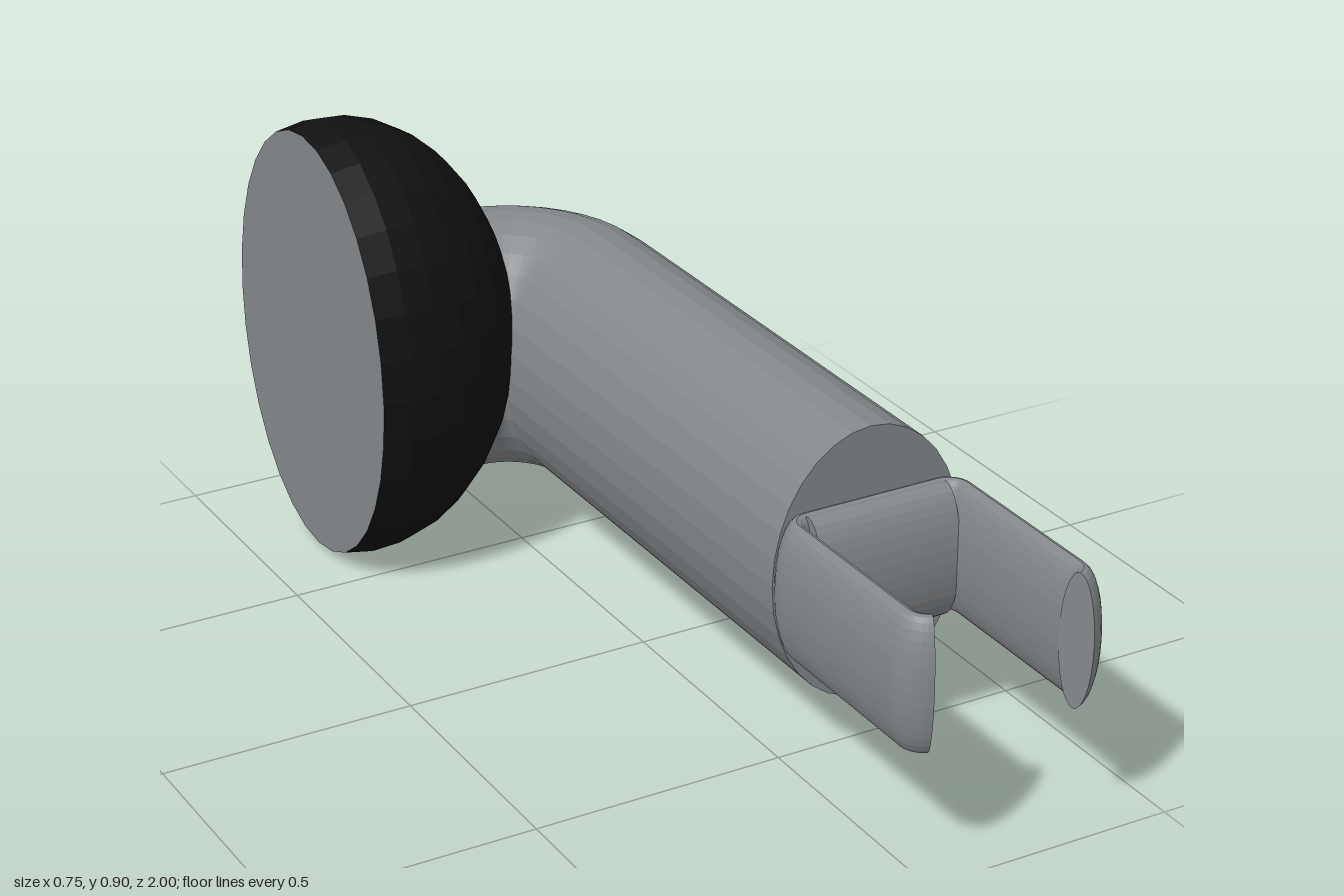
import * as THREE from 'three';

const grey = new THREE.MeshStandardMaterial({ color: 0x84888b, flatShading: true });
const black = new THREE.MeshStandardMaterial({ color: 0x111111, flatShading: true });
const MID_Y = 0.3825;

// Points with tangents along an arc in the ground plane (angles in degrees)
function arc(cx, cz, radius, from, to, steps) {
  const dir = Math.sign(to - from);
  return Array.from({ length: steps + 1 }, (_, i) => {
    const a = THREE.MathUtils.degToRad(from + (to - from) * i / steps);
    return {
      x: cx + radius * Math.cos(a), z: cz + radius * Math.sin(a),
      tx: -dir * Math.sin(a), tz: dir * Math.cos(a),
    };
  });
}

// Sweeps an upright ellipse along a level path and closes both ends
function sweep(path, rWide, rHigh, sides) {
  const pos = [], index = [];
  for (const p of path) {
    for (let j = 0; j < sides; j++) {
      const a = j / sides * Math.PI * 2, w = rWide * Math.cos(a);
      pos.push(p.x + p.tz * w, rHigh * Math.sin(a), p.z - p.tx * w);
    }
  }
  const last = (path.length - 1) * sides, start = path.length * sides;
  for (const p of [path[0], path[path.length - 1]]) pos.push(p.x, 0, p.z);
  for (let j = 0; j < sides; j++) {
    const k = (j + 1) % sides;
    for (let i = 0; i < last; i += sides) {
      index.push(i + j, i + k, i + sides + j, i + k, i + sides + k, i + sides + j);
    }
    index.push(start, k, j, start + 1, last + j, last + k);
  }
  const geo = new THREE.BufferGeometry();
  geo.setAttribute('position', new THREE.Float32BufferAttribute(pos, 3));
  geo.setIndex(index);
  geo.computeVertexNormals();
  return geo;
}

export function createModel() {
  const model = new THREE.Group();
  const add = (name, geo, material, x, y, z) => {
    const mesh = new THREE.Mesh(geo, material);
    mesh.name = name;
    mesh.position.set(x, y, z);
    model.add(mesh);
  };

  // Dome cut off just past its equator, with a flat back plate
  const cut = Math.acos(-0.075 / 0.335);
  const dome = new THREE.SphereGeometry(1, 32, 10, 0, Math.PI * 2, 0, cut);
  dome.rotateZ(-Math.PI / 2).scale(0.335, 0.45, 0.335);
  add('dome', dome, black, -0.3, 0.45, -0.665);
  const plate = new THREE.CircleGeometry(Math.sin(cut), 32);
  plate.rotateY(-Math.PI / 2).scale(1, 0.45, 0.335);
  add('backPlate', plate, grey, -0.375, 0.45, -0.665);

  // Elbow pipe, running back and turning into the dome
  const pipePath = [
    { x: 0.155, z: 0.54, tx: 0, tz: -1 },
    ...arc(-0.045, -0.475, 0.2, 0, -90, 10),
    { x: -0.25, z: -0.675, tx: -1, tz: 0 },
  ];
  add('elbowPipe', sweep(pipePath, 0.199, 0.27, 32), grey, 0, MID_Y, 0);

  // Flattened U-shaped fork with tips curling inward
  const forkPath = [
    ...arc(0.022, 0.93, 0.0375, 110, 180, 7),
    ...arc(0.022, 0.582, 0.0375, 180, 270, 8),
    ...arc(0.298, 0.582, 0.0375, 270, 360, 8),
    ...arc(0.298, 0.93, 0.0375, 0, 70, 7),
  ];
  add('fork', sweep(forkPath, 0.037, 0.1335, 32), grey, 0, MID_Y, 0);

  // Thicker bar joining the prongs
  const bar = new THREE.CylinderGeometry(1, 1, 0.29, 32);
  bar.rotateZ(Math.PI / 2).scale(1, 0.1335, 0.053);
  add('crossBar', bar, grey, 0.16, MID_Y, 0.562);

  return model;
}
